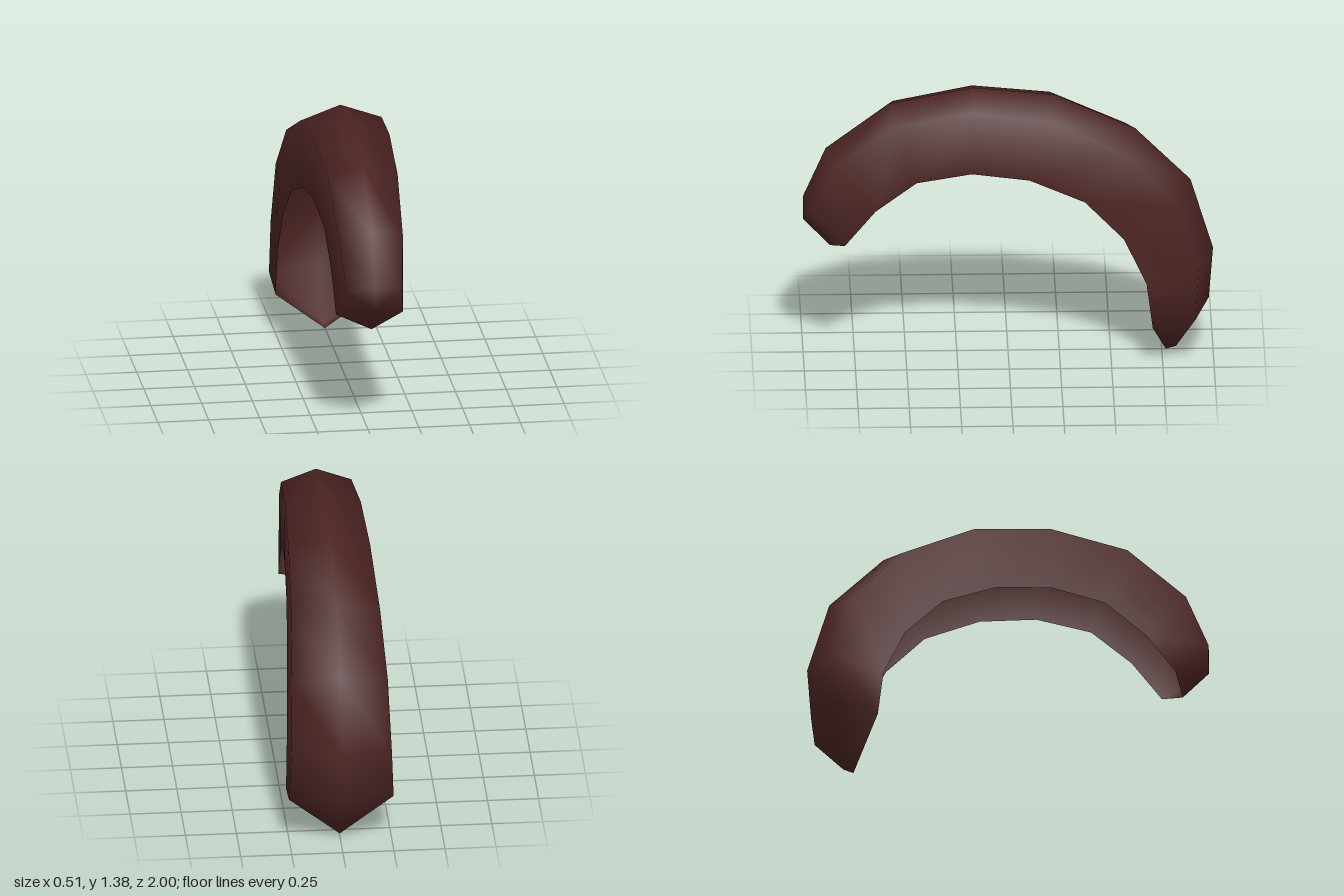
import * as THREE from 'three';

// Side profile, front to back:
// ridge z, y; lower edge z, y; half width at the shoulder and at the lower edge
const SECTIONS = [
  [1.0, 0.82, 0.80, 0.62, 0.137, 0.165],
  [0.89, 1.07, 0.65, 0.80, 0.157, 0.168],
  [0.58, 1.30, 0.45, 0.95, 0.172, 0.174],
  [0.17, 1.38, 0.18, 1.00, 0.186, 0.187],
  [-0.23, 1.34, -0.10, 0.97, 0.20, 0.202],
  [-0.62, 1.16, -0.37, 0.86, 0.218, 0.22],
  [-0.89, 0.89, -0.56, 0.67, 0.235, 0.236],
  [-1.0, 0.53, -0.67, 0.44, 0.246, 0.247],
  [-0.98, 0.27, -0.70, 0.21, 0.256, 0.253],
];
// Pointed ends: middle of the end, and tip between the lower edges
const FRONT = { middle: [0, 0.70, 1.0], tip: [0, 0.56, 0.87] };
const BACK = { middle: [0, 0.015, -0.82], tip: [0, 0, -0.77] };

// Skins a list of equal-length rows and closes each end with a fan down to its tip
function skin(rows, front, back) {
  const n = rows[0].length;
  const points = rows.flat();
  const index = [];
  for (let i = 0; i < rows.length - 1; i++) {
    for (let j = 0; j < n - 1; j++) {
      const a = i * n + j, b = a + 1, c = a + n, d = c + 1;
      index.push(a, b, c, b, d, c);
    }
  }
  const closeEnd = (start, end, flip) => {
    const middle = points.push(end.middle) - 1;
    const tip = points.push(end.tip) - 1;
    const rim = [tip, ...Array.from({ length: n }, (_, j) => start + j), tip];
    for (let j = 0; j < rim.length - 1; j++) {
      if (flip) index.push(rim[j + 1], rim[j], middle);
      else index.push(rim[j], rim[j + 1], middle);
    }
  };
  closeEnd(0, front, true);
  closeEnd((rows.length - 1) * n, back, false);

  const geometry = new THREE.BufferGeometry();
  geometry.setAttribute('position', new THREE.Float32BufferAttribute(points.flat(), 3));
  geometry.setIndex(index);
  geometry.computeVertexNormals();
  return geometry;
}

export function createModel() {
  const group = new THREE.Group();
  group.name = 'curvedArch';
  const brown = new THREE.MeshStandardMaterial({
    name: 'darkBrown', color: 0x4b2323, side: THREE.DoubleSide,
  });

  // Cross-sections: ridge, shoulders and lower edges, open underneath
  const rows = SECTIONS.map(([rz, ry, ez, ey, shoulderWidth, edgeWidth], i) => {
    const drop = 0.15 + 0.1 * (i / (SECTIONS.length - 1)) ** 2;
    const sy = THREE.MathUtils.lerp(ry, ey, drop);
    const sz = THREE.MathUtils.lerp(rz, ez, drop);
    return [
      [-edgeWidth, ey, ez],
      [-shoulderWidth, sy, sz],
      [0, ry, rz],
      [shoulderWidth, sy, sz],
      [edgeWidth, ey, ez],
    ];
  });

  // Hollow arch with a ridge along the outside and pointed ends
  const shell = new THREE.Mesh(skin(rows, FRONT, BACK), brown);
  shell.name = 'archShell';
  group.add(shell);
  return group;
}
